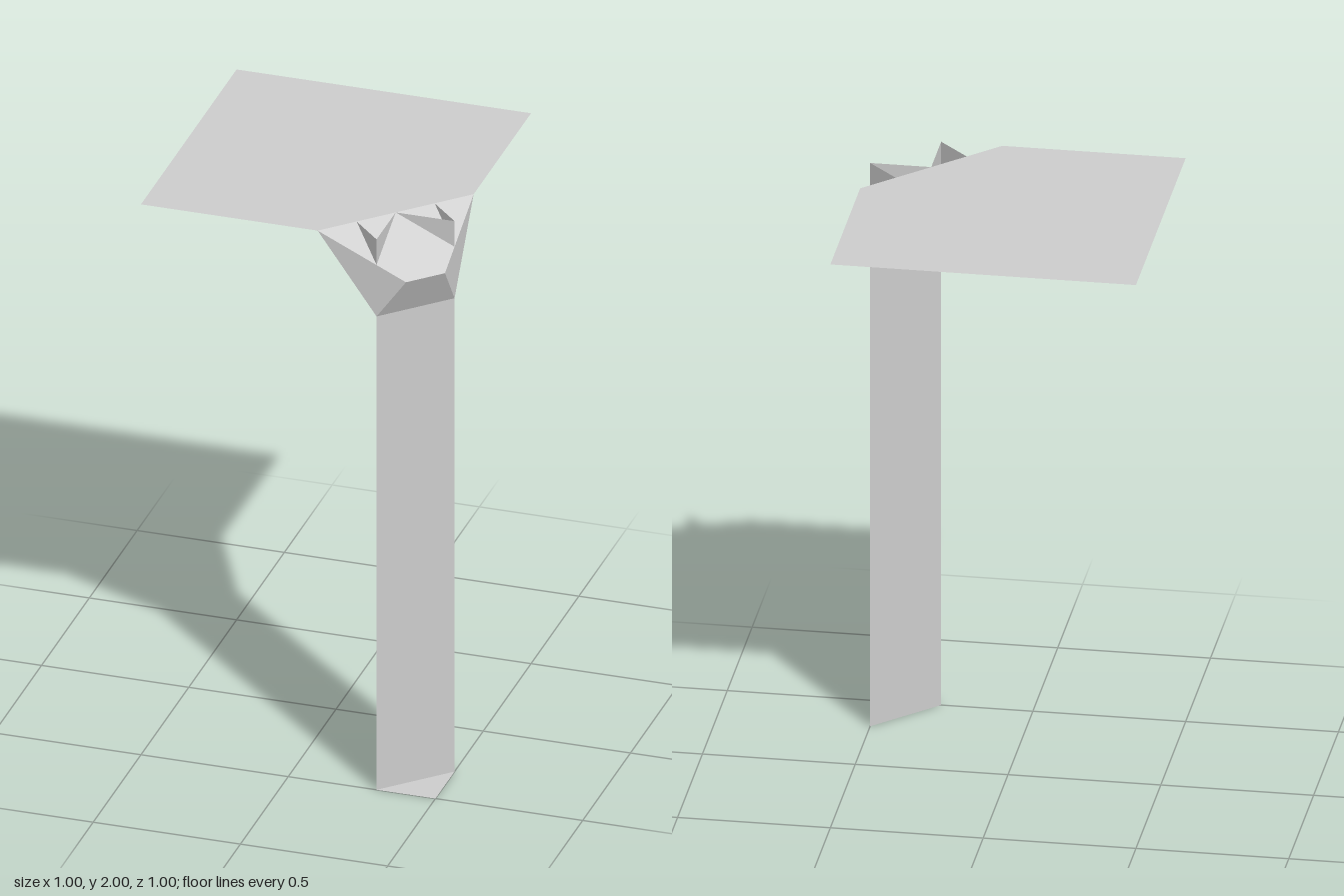
import * as THREE from 'three';

const stone = new THREE.MeshStandardMaterial({ color: 0xcccccc, side: THREE.DoubleSide, flatShading: true });
stone.name = 'pale grey';

// Flat convex panel from its corners, listed counter-clockwise from the front
function panel(name, ...corners) {
  const points = [];
  for (let i = 1; i < corners.length - 1; i++) points.push(...corners[0], ...corners[i], ...corners[i + 1]);
  const geometry = new THREE.BufferGeometry();
  geometry.setAttribute('position', new THREE.Float32BufferAttribute(points, 3));
  geometry.computeVertexNormals();
  const mesh = new THREE.Mesh(geometry, stone);
  mesh.name = name;
  return mesh;
}

// Mirror a corner across the diagonal x = z
const swap = ([x, y, z]) => [z, y, x];

export function createModel() {
  const model = new THREE.Group();
  model.name = 'cornerColumn';
  const add = (...args) => model.add(panel(...args));
  const addPair = (name, ...corners) => {
    add(name + 'Front', ...corners);
    add(name + 'Side', ...corners.map(swap).reverse());
  };

  const top = 2, shaftTop = 1.72, lipY = 1.86, notchY = 1.907;
  const h = 0.5;
  const foot = [0.3, 0, h], neck = [0.3, shaftTop, h], lip = [0.4, lipY, h], rim = [0.1, top, h];

  // Ceiling sheet with one corner cut off
  add('ceiling', [-h, top, -h], [-h, top, h], rim, swap(rim), [h, top, -h]);

  // Corner floor and diagonal shaft
  add('floorCorner', foot, [h, 0, h], swap(foot));
  add('shaft', foot, swap(foot), swap(neck), neck);

  // Capital: overhanging lip, sloping ledge and side gussets
  add('capitalLip', neck, swap(neck), swap(lip), lip);
  add('capitalLedge', rim, lip, swap(lip), swap(rim));
  addPair('capitalGusset', rim, neck, lip);

  // Upright fins standing on the ledge
  const finFoot = [0.3, notchY, h], finTip = [0.3, top, h];
  addPair('innerFin', [0.3, top, 0.3], finTip, finFoot);
  addPair('outerFin', [0.2, top, 0.4], finFoot, finTip);

  return model;
}
